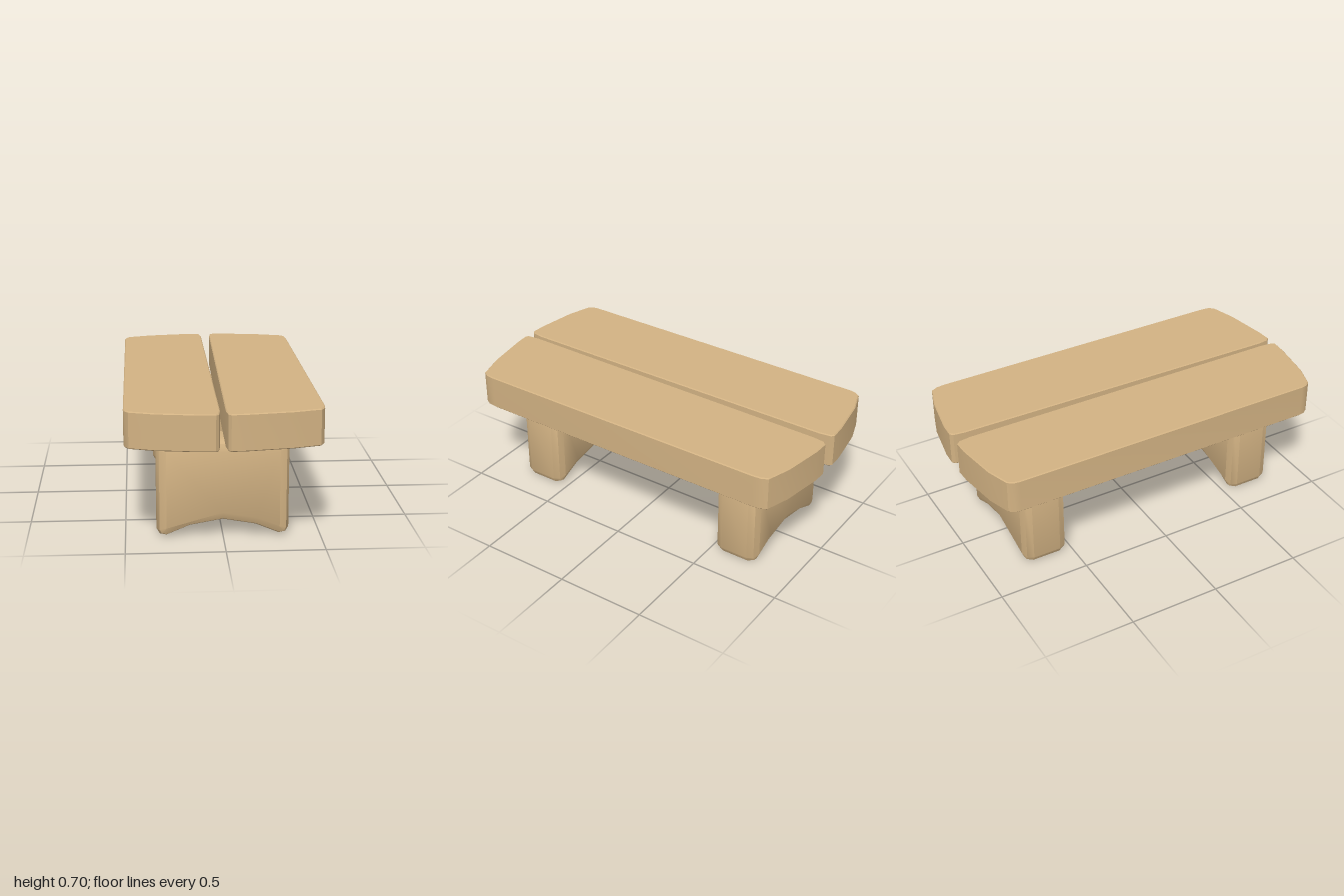
import * as THREE from 'three';
import { toCreasedNormals } from 'three/addons/utils/BufferGeometryUtils.js';

const wood = new THREE.MeshStandardMaterial({ color: 0xd2b283 });

function makeMesh(geometry, name) {
  const mesh = new THREE.Mesh(toCreasedNormals(geometry, 0.5), wood);
  mesh.name = name;
  return mesh;
}

// Plank: bowed-end outline given as [x, z], extruded upward with a fine edge bevel
function makePlank(outline, name) {
  const bevel = 0.005;
  const shape = new THREE.Shape(outline.map(([x, z]) => new THREE.Vector2(x, -z)));
  const geometry = new THREE.ExtrudeGeometry(shape, {
    depth: 0.19 - 2 * bevel, bevelThickness: bevel, bevelSize: bevel,
    bevelOffset: -bevel, bevelSegments: 1,
  });
  geometry.rotateX(-Math.PI / 2);
  geometry.translate(0, 0.515 + bevel, 0);
  return makeMesh(geometry, name);
}

// Leg: slab with rounded edges and an arched foot, lofted through rings along z
function makeLegGeometry() {
  // Flat-face point [x, y] and the direction [dx, dy] in which rounding pushes it
  const half = [
    [0, 0.13, 0, -1], [0.17, 0.1, 0, -1],
    [0.29, 0.05, 0, -1], [0.29, 0.05, 0.7, -0.85], [0.29, 0.05, 1, -0.3],
    [0.29, 0.455, 1, 0], [0.29, 0.455, 0.7, 0.7], [0.29, 0.455, 0, 1],
  ];
  const mirrored = half.slice(1).reverse().map(([x, y, dx, dy]) => [-x, y, -dx, dy]);
  const outline = [...half, ...mirrored];
  const rings = [
    [-0.128, 0], [-0.113, 0.035], [-0.078, 0.05],
    [0.078, 0.05], [0.113, 0.035], [0.128, 0],
  ];
  const n = outline.length;
  const positions = [];
  const index = [];
  rings.forEach(([z, r]) => outline.forEach(([x, y, dx, dy]) =>
    positions.push(x + dx * r, y + dy * r, z)));
  for (let k = 0; k < rings.length - 1; k++) {
    for (let i = 0; i < n; i++) {
      const j = (i + 1) % n;
      const a = k * n + i, b = k * n + j, c = a + n, d = b + n;
      // Corner fans meet in a single point on the flat faces
      const joined = outline[i][0] === outline[j][0] && outline[i][1] === outline[j][1];
      if (!(joined && k === 0)) index.push(a, b, d);
      if (!(joined && k === rings.length - 2)) index.push(a, d, c);
    }
  }
  // Flat front and back faces
  const corners = [0, 1, 2, 5, 10, 13].filter((i) => i < n);
  const face = corners.map((i) => new THREE.Vector2(outline[i][0], outline[i][1]));
  const top = (rings.length - 1) * n;
  for (const tri of THREE.ShapeUtils.triangulateShape(face, [])) {
    const [a, b, c] = tri.map((i) => corners[i]);
    index.push(top + a, top + b, top + c, a, c, b);
  }
  const geometry = new THREE.BufferGeometry();
  geometry.setAttribute('position', new THREE.Float32BufferAttribute(positions, 3));
  geometry.setIndex(index);
  return geometry;
}

export function createModel() {
  const model = new THREE.Group();
  model.name = 'bench';

  // Seat planks; the left one tapers slightly so the gap widens towards the back
  model.add(makePlank([
    [-0.5, 0.86], [-0.495, 0.89], [-0.475, 0.918], [-0.35, 0.96], [-0.13, 0.995], [-0.05, 1], [-0.035, 0.985],
    [-0.026, 0.92], [-0.026, -0.92], [-0.035, -0.985], [-0.05, -1], [-0.13, -0.997],
    [-0.35, -0.963], [-0.475, -0.921], [-0.495, -0.89], [-0.5, -0.86],
  ], 'rightPlank'));
  model.add(makePlank([
    [0.002, 0.92], [0.01, 0.985], [0.025, 1], [0.1, 0.995], [0.33, 0.96], [0.475, 0.918],
    [0.495, 0.885], [0.5, 0.84], [0.5, -0.84], [0.495, -0.885], [0.478, -0.918],
    [0.35, -0.96], [0.13, -0.997], [0.05, -1], [0.033, -0.985], [0.025, -0.92],
  ], 'leftPlank'));

  // Legs
  for (const [name, z] of [['frontLeg', 0.657], ['backLeg', -0.652]]) {
    const leg = makeMesh(makeLegGeometry(), name);
    leg.position.z = z;
    model.add(leg);
  }
  return model;
}
